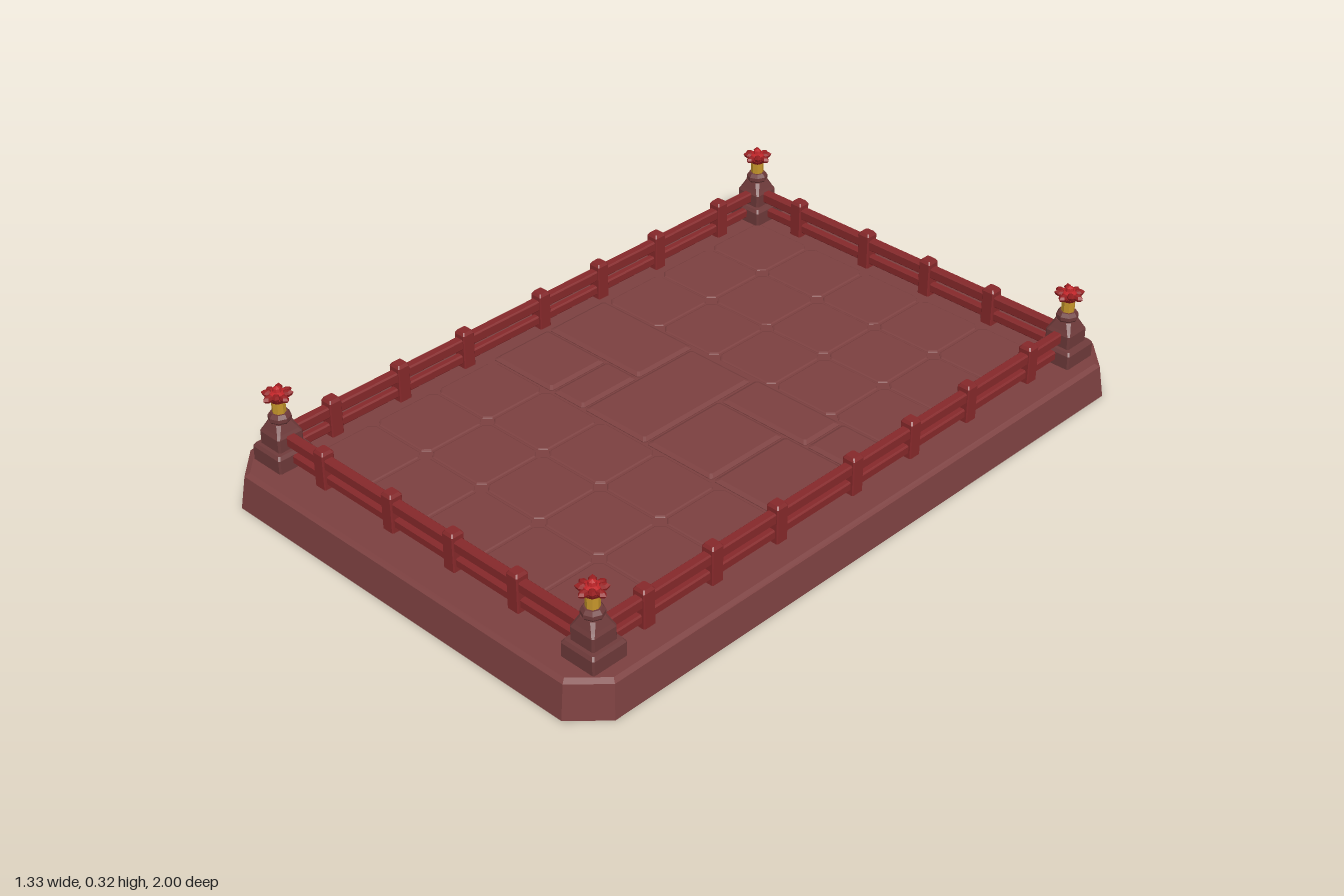
import * as THREE from 'three';

const mat = (name, color, side = THREE.FrontSide) => {
  const m = new THREE.MeshStandardMaterial({ color, flatShading: true, side });
  m.name = name;
  return m;
};

// Stack of chamfered rectangles: each section is [halfX, halfZ, chamfer, y]
function loft(sections, closedBottom = true) {
  const rings = sections.map(([x, z, c, y]) => [
    [x, y, z - c], [x, y, -z + c], [x - c, y, -z], [-x + c, y, -z],
    [-x, y, -z + c], [-x, y, z - c], [-x + c, y, z], [x - c, y, z],
  ]);
  const pos = [];
  const tri = (a, b, c) => pos.push(...a, ...b, ...c);
  for (let k = 0; k + 1 < rings.length; k++) {
    for (let i = 0; i < 8; i++) {
      const j = (i + 1) % 8, lo = rings[k], hi = rings[k + 1];
      tri(lo[i], lo[j], hi[j]);
      tri(lo[i], hi[j], hi[i]);
    }
  }
  const top = rings[rings.length - 1], bottom = rings[0];
  for (let i = 1; i < 7; i++) {
    tri(top[0], top[i], top[i + 1]);
    if (closedBottom) tri(bottom[0], bottom[i + 1], bottom[i]);
  }
  const g = new THREE.BufferGeometry();
  g.setAttribute('position', new THREE.Float32BufferAttribute(pos, 3));
  g.computeVertexNormals();
  return g;
}

export function createModel() {
  const model = new THREE.Group();
  model.name = 'railedPlatform';
  const stone = mat('red stone', 0x7c4040, THREE.DoubleSide);
  const pillarStone = mat('pillar stone', 0x6e3a3a);
  const wood = mat('painted red wood', 0x85282a);
  const gold = mat('gold', 0xc4942a);
  const petalRed = mat('dark petal red', 0x961e20);
  const budRed = mat('bright bud red', 0xbe2428);

  const add = (parent, name, geometry, material, x = 0, y = 0, z = 0) => {
    const m = new THREE.Mesh(geometry, material);
    m.name = name;
    m.position.set(x, y, z);
    parent.add(m);
    return m;
  };

  // Hollow base with sloping sides and cut corners
  add(model, 'base', loft([
    [0.665, 1, 0.085, 0], [0.655, 0.986, 0.082, 0.093], [0.643, 0.974, 0.078, 0.101],
  ], false), stone);

  // Square floor tiles, three rows at each end
  const floor = new THREE.Group();
  floor.name = 'floor';
  model.add(floor);
  const tile = loft([[0.1015, 0.1015, 0.018, 0.099], [0.1, 0.1, 0.018, 0.102], [0.096, 0.096, 0.016, 0.104]]);
  for (const zc of [-0.525, 0.515])
    for (let r = -1; r <= 1; r++)
      for (let c = -2; c <= 2; c++)
        add(floor, 'floorTile', tile, stone, c * 0.207, 0, zc + r * 0.207);

  // Irregular paving across the middle: x0, x1, z0, z1
  for (const [x0, x1, z0, z1] of [
    [-0.52, -0.178, -0.21, -0.004], [-0.172, 0.047, -0.198, 0.2],
    [0.055, 0.348, -0.21, -0.072], [0.354, 0.52, -0.21, -0.072],
    [0.053, 0.28, -0.066, 0.2], [0.286, 0.52, -0.066, 0.2],
    [-0.52, -0.296, 0.002, 0.2], [-0.29, -0.178, 0.002, 0.2],
  ]) {
    const w = (x1 - x0) / 2, d = (z1 - z0) / 2;
    add(floor, 'pavingStone', loft([
      [w, d, 0.006, 0.093], [w, d, 0.006, 0.103], [w - 0.011, d - 0.011, 0.005, 0.109],
    ]), stone, (x0 + x1) / 2, 0, (z0 + z1) / 2);
  }

  // Railings: two rails per side and evenly spread posts
  const RX = 0.557, RZ = 0.873;
  const post = loft([
    [0.019, 0.019, 0.003, 0.096], [0.019, 0.019, 0.003, 0.2], [0.014, 0.014, 0.003, 0.208],
  ]);
  const rail = (hx, hz, y0, y1) => loft([
    [hx - 0.004, hz - 0.004, 0.002, y0], [hx, hz, 0.002, y0 + 0.004],
    [hx, hz, 0.002, y1 - 0.004], [hx - 0.004, hz - 0.004, 0.002, y1],
  ]);
  for (const s of [-1, 1]) {
    const ends = new THREE.Group();
    ends.name = s > 0 ? 'frontRailing' : 'backRailing';
    const sides = new THREE.Group();
    sides.name = s > 0 ? 'leftRailing' : 'rightRailing';
    model.add(ends, sides);
    for (const [name, y0, y1, t] of [['upperRail', 0.158, 0.189, 0.014], ['lowerRail', 0.113, 0.14, 0.011]]) {
      add(ends, name, rail(RX - 0.03, t, y0, y1), wood, 0, 0, s * RZ);
      add(sides, name, rail(t, RZ - 0.03, y0, y1), wood, s * RX);
    }
    for (const x of [-0.39, -0.134, 0.087, 0.308]) add(ends, 'railPost', post, wood, x, 0, s * RZ);
    for (const z of [-0.71, -0.455, -0.23, -0.01, 0.265, 0.488, 0.713])
      add(sides, 'railPost', post, wood, s * RX, 0, z);
  }

  // Corner pillars with a gold neck and flower finial
  const pedestal = loft([
    [0.054, 0.054, 0.004, 0.09], [0.054, 0.054, 0.004, 0.14], [0.048, 0.048, 0.004, 0.149],
    [0.039, 0.039, 0.005, 0.15], [0.039, 0.039, 0.005, 0.186], [0.034, 0.034, 0.006, 0.196],
    [0.025, 0.025, 0.009, 0.217],
  ]);
  const collar = new THREE.LatheGeometry([
    [0, 0.213], [0.024, 0.213], [0.03, 0.222], [0.03, 0.232], [0.023, 0.242], [0, 0.242],
  ].map(([r, y]) => new THREE.Vector2(r, y)), 8);
  const neck = new THREE.CylinderGeometry(0.018, 0.018, 0.04, 8);
  const cup = new THREE.CylinderGeometry(0.027, 0.017, 0.016, 8);
  const bud = new THREE.LatheGeometry([
    [0.026, 0.284], [0.022, 0.299], [0.012, 0.302], [0.01, 0.311], [0, 0.316],
  ].map(([r, y]) => new THREE.Vector2(r, y)), 8);
  const petal = new THREE.SphereGeometry(1, 6, 4);
  petal.scale(0.019, 0.01, 0.011);
  for (const sx of [-1, 1]) for (const sz of [-1, 1]) {
    const pillar = new THREE.Group();
    pillar.name = 'cornerPillar';
    pillar.position.set(sx * RX, 0, sz * RZ);
    model.add(pillar);
    add(pillar, 'pedestal', pedestal, pillarStone);
    add(pillar, 'collar', collar, pillarStone);
    add(pillar, 'neck', neck, gold, 0, 0.259, 0);
    add(pillar, 'flowerCup', cup, petalRed, 0, 0.279, 0);
    add(pillar, 'flowerBud', bud, budRed);
    for (let i = 0; i < 8; i++) {
      const a = i * Math.PI / 4, r = i % 2 ? 0.022 : 0.025;
      const p = add(pillar, 'petal', petal, petalRed, Math.cos(a) * r, i % 2 ? 0.294 : 0.29, -Math.sin(a) * r);
      p.rotation.set(0, a, i % 2 ? 0.25 : 0, 'YXZ');
    }
  }
  return model;
}
